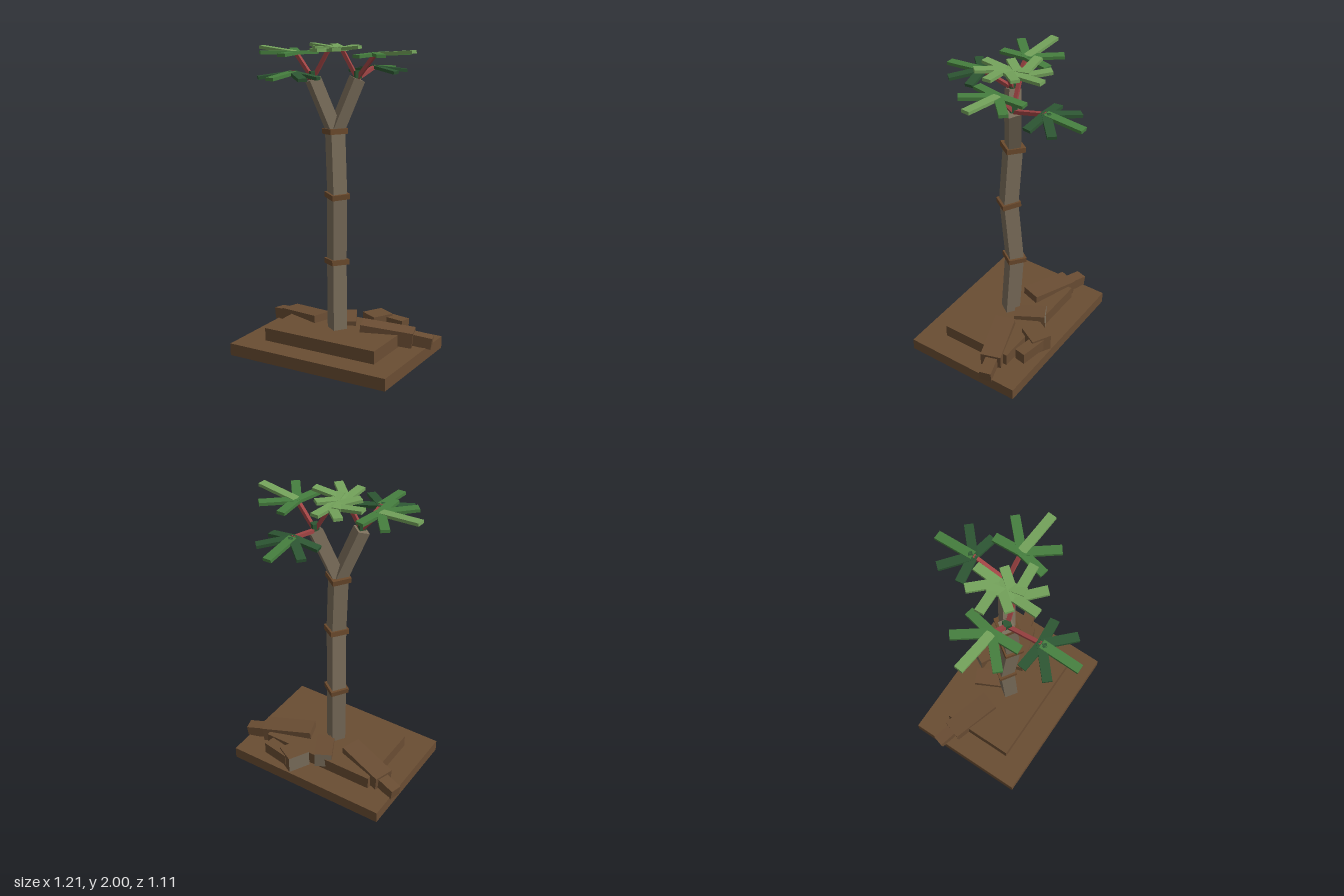
import * as THREE from 'three';

const material = (name, color) => {
  const m = new THREE.MeshStandardMaterial({ color });
  m.name = name;
  return m;
};

export function createModel() {
  const root = new THREE.Group();
  root.name = 'palmTree';
  const soil = material('soil brown', 0x6a4d33);
  const bark = material('bark grey brown', 0x7b6e5b);
  const ring = material('ring brown', 0x6b4a2d);
  const red = material('stem red', 0xa04444);
  const dark = material('dark green', 0x2d5633);
  const mid = material('mid green', 0x467f3f);
  const light = material('light green', 0x74a35b);
  const cutEnd = [soil, soil, soil, soil, bark, soil];
  const V = (p) => new THREE.Vector3(...p);

  function box(parent, name, size, pos, mat, yaw = 0) {
    const m = new THREE.Mesh(new THREE.BoxGeometry(...size), mat);
    m.name = name;
    m.position.set(...pos);
    m.rotation.y = yaw;
    parent.add(m);
    return m;
  }
  // Flat-lying beam from a to b, its length along local z
  function beam(parent, name, a, b, w, h, mat) {
    const A = V(a), B = V(b);
    const m = box(parent, name, [w, h, A.distanceTo(B)], [0, 0, 0], mat);
    m.position.copy(A).add(B).multiplyScalar(0.5);
    m.quaternion.setFromRotationMatrix(
      new THREE.Matrix4().lookAt(B, A, new THREE.Vector3(0, 1, 0)));
    return m;
  }
  // Upright post from a to b, its length along local y, turned about its axis
  const turn = new THREE.Quaternion().setFromAxisAngle(new THREE.Vector3(0, 1, 0), -0.6);
  function post(parent, name, a, b, w, mat) {
    const A = V(a), B = V(b);
    const m = box(parent, name, [w, A.distanceTo(B), w], [0, 0, 0], mat);
    m.position.copy(A).add(B).multiplyScalar(0.5);
    m.quaternion.setFromUnitVectors(new THREE.Vector3(0, 1, 0), B.sub(A).normalize()).multiply(turn);
    return m;
  }

  // Stepped ground
  box(root, 'groundSlab', [1.13, 0.08, 0.81], [0, 0.04, 0.005], soil);
  box(root, 'groundStep', [0.805, 0.085, 0.49], [0.002, 0.1225, 0.005], soil);

  // Side roots, mirrored
  for (const s of [-1, 1]) {
    beam(root, 'sideRoot', [s * 0.148, 0.165, -0.056], [s * 0.473, 0.13, -0.163], 0.135, 0.1, soil);
    beam(root, 'sideRootTip', [s * 0.44, 0.13, -0.16], [s * 0.588, 0.108, -0.202], 0.078, 0.075, soil);
  }
  // Rear roots with bare cut ends
  beam(root, 'rearRoot', [0.04, 0.145, -0.06], [-0.055, 0.155, -0.245], 0.115, 0.1, cutEnd);
  beam(root, 'rearBlock', [0.2, 0.142, -0.265], [0.08, 0.142, -0.33], 0.15, 0.115, cutEnd);
  beam(root, 'rearBlockTip', [0.16, 0.145, -0.335], [0.345, 0.145, -0.303], 0.077, 0.08, soil);

  // Bent trunk with a ring at each joint
  const joints = [[0.003, 0.13, 0.005], [-0.014, 0.612, -0.016], [0.007, 1.055, 0.015], [-0.017, 1.46, 0]];
  for (let i = 1; i < joints.length; i++) {
    post(root, 'trunkSegment', joints[i - 1], joints[i], 0.095, bark);
    const r = post(root, 'trunkRing', joints[i - 1], joints[i], 0.122, ring);
    r.position.copy(V(joints[i]));
    r.scale.y = 0.034 / r.geometry.parameters.height;
  }

  // Five fronds spread around a heading, each with its own reach and rise
  function fan(parent, c, heading, reach, rise, mats) {
    const g = new THREE.Group();
    g.name = 'frondFan';
    parent.add(g);
    [[0, 0], [48, 1], [-48, 1], [97, 2], [-97, 2]].forEach(([deg, k]) => {
      const a = THREE.MathUtils.degToRad(heading + deg);
      const end = [c[0] + Math.cos(a) * reach[k], c[1] + rise[k], c[2] + Math.sin(a) * reach[k]];
      beam(g, 'frond', c, end, 0.055, 0.02, mats[k]);
    });
  }

  // Two identical crowns, one turned half round
  for (const angle of [0, Math.PI]) {
    const crown = new THREE.Group();
    crown.name = 'crown';
    crown.position.x = -0.0165;
    crown.rotation.y = angle;
    root.add(crown);
    const tip = [-0.113, 1.785, 0.077];
    post(crown, 'branch', [0, 1.45, 0], tip, 0.078, bark);
    box(crown, 'crownBud', [0.042, 0.045, 0.042], [-0.113, 1.81, 0.077], dark, -0.6);

    const low = [-0.113, 1.842, 0.303];
    const outer = [-0.243, 1.94, 0.066];
    const top = [-0.013, 1.962, 0.061];
    for (const end of [low, outer, top]) beam(crown, 'stem', tip, end, 0.023, 0.023, red);
    fan(crown, low, 90, [0.25, 0.21, 0.167], [-0.02, -0.027, -0.03], [mid, dark, dark]);
    fan(crown, outer, 185, [0.275, 0.225, 0.177], [0.025, 0.005, -0.005], [light, mid, mid]);
    fan(crown, top, -4, [0.212, 0.187, 0.158], [0.025, 0.015, 0.01], [light, light, light]);
  }
  return root;
}
